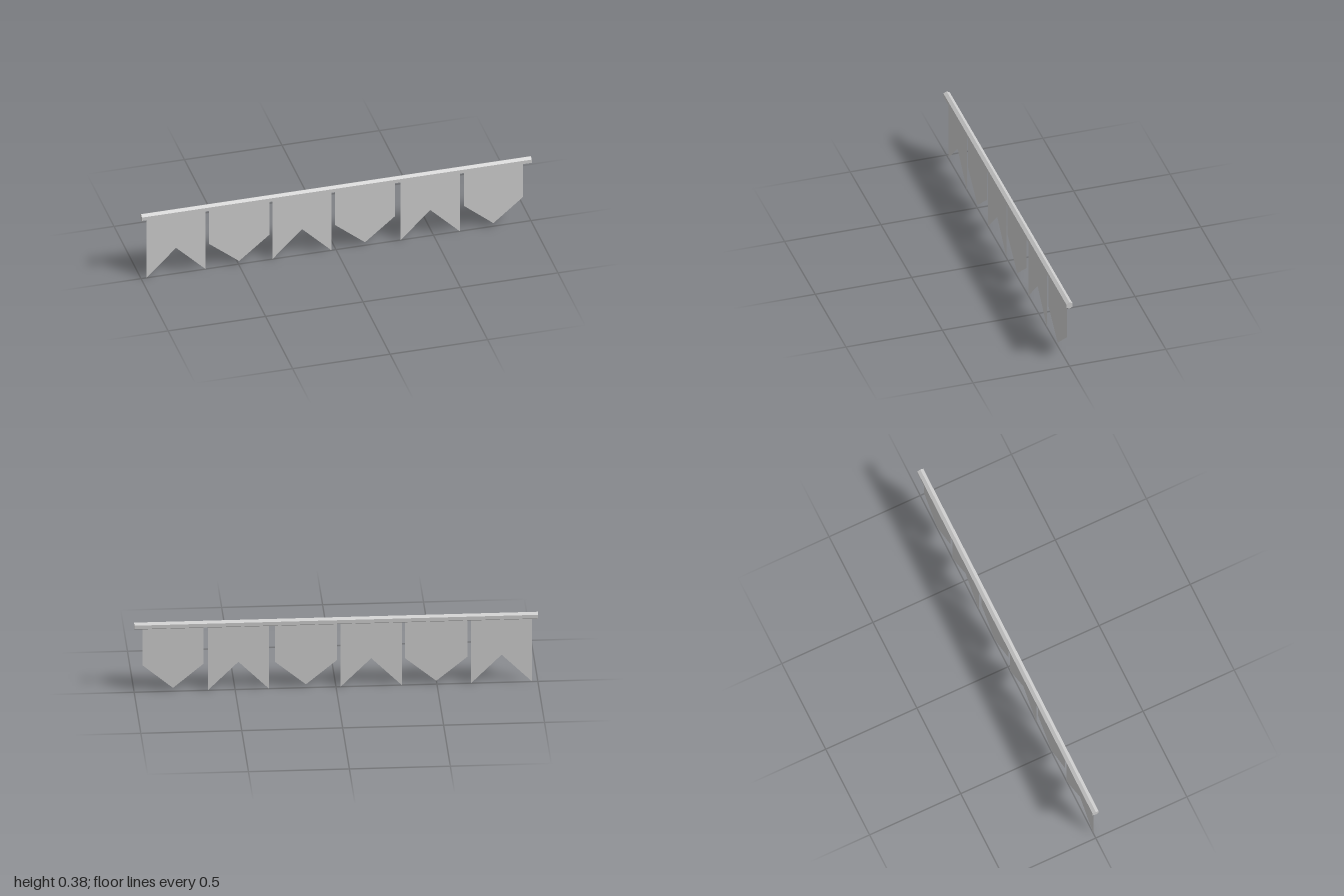
import * as THREE from 'three';

const ROD_Y = 0.358, ROD_RADIUS = 0.019;
const FLAG_TOP = 0.342;

// Flat flag outline: two side edges and a middle point (notch or tip)
function flagGeometry(x0, x1, sideY, middleY) {
  const shape = new THREE.Shape();
  shape.moveTo(x0, FLAG_TOP);
  shape.lineTo(x0, sideY);
  shape.lineTo((x0 + x1) / 2, middleY);
  shape.lineTo(x1, sideY);
  shape.lineTo(x1, FLAG_TOP);
  shape.closePath();
  return new THREE.ShapeGeometry(shape);
}

export function createModel() {
  const group = new THREE.Group();
  group.name = 'bunting';

  // Hexagonal rod along x, with an edge facing up
  const rodGeometry = new THREE.CylinderGeometry(ROD_RADIUS, ROD_RADIUS, 2, 6);
  rodGeometry.rotateY(Math.PI / 6).rotateZ(Math.PI / 2);
  const rod = new THREE.Mesh(
    rodGeometry,
    new THREE.MeshStandardMaterial({ color: 0xcccccc, flatShading: true })
  );
  rod.name = 'rod';
  rod.position.y = ROD_Y;
  group.add(rod);

  // Flags alternate between swallowtail and pointed
  const cloth = new THREE.MeshStandardMaterial({ color: 0xcccccc, side: THREE.DoubleSide });
  const spans = [
    [-0.972, -0.669], [-0.652, -0.342], [-0.326, -0.023],
    [-0.005, 0.303], [0.332, 0.635], [0.656, 0.959],
  ];
  spans.forEach(([x0, x1], i) => {
    const swallowtail = i % 2 === 0;
    const flag = new THREE.Mesh(
      swallowtail ? flagGeometry(x0, x1, 0, 0.15) : flagGeometry(x0, x1, 0.145, 0.018),
      cloth
    );
    flag.name = (swallowtail ? 'swallowtailFlag' : 'pointedFlag') + (i + 1);
    group.add(flag);
  });

  return group;
}
